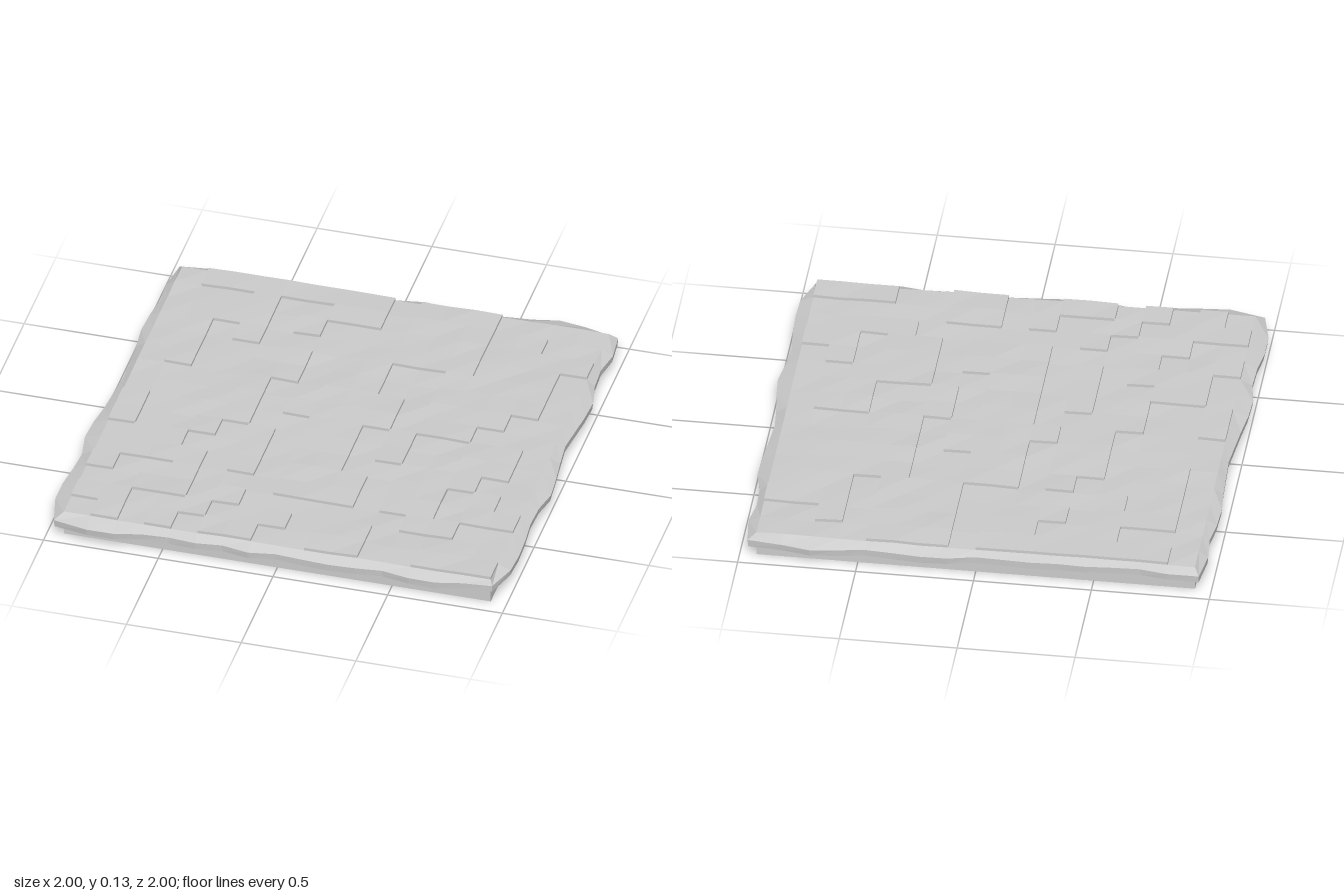
import * as THREE from 'three';

const N = 16, HALF = 0.93, CELL = (2 * HALF) / N, STEP = 0.013;

// Raised slabs (#) on the ground grid, back row first
const SLABS = [
  '.#######.###....',
  '...#..##.###.#..',
  '.###.#...###.###',
  '.#.#.....###.##.',
  '.#...#.##..####.',
  '.#..##.##..####.',
  '....#..###.###..',
  '....#.####.##...',
  '#..##..##.#..##.',
  '#..#.#.##.#..##.',
  '.##..#.##..###..',
  '.###.#.###.##.#.',
  '#..#...###.##.##',
  '..##.#......##..',
  '##..#..#.##.....',
  '.#.#.##..##..###',
];

// Rim overhang in hundredths, counter-clockwise from the front left corner
const OVERHANG = [
  [3.5, 7, 6.5, 4.5, 2.5, 4, 3, 5, 3.5, 3.5, 4, 4, 3, 5, 4.5, 3, 1.5],
  [1, 5.5, 6, 5.5, 4.5, 5, 7, 6, 4.5, 3.5, 4.5, 5.5, 6, 3.5, 3, 5, 3.5],
  [2, 5, 7, 5, 3.5, 3.5, 4.5, 5, 2.5, 2.5, 2.5, 2.5, 3, 2.5, 2, 4, 3],
  [2, 4, 3, 4.5, 5, 4, 3.5, 3, 4, 5, 6.5, 7, 5, 5.5, 7, 7, 3.5],
];

// Repeatable value in -1..1 for a grid point
function noise(i, j) {
  const s = Math.sin(i * 127.1 + j * 311.7) * 43758.5453;
  return (s - Math.floor(s)) * 2 - 1;
}

const raised = (i, j) => SLABS[j]?.[i] === '#';

// Point on the ground grid, lifted by a slab if wanted
function gridPoint(i, j, lift = 0) {
  return [-HALF + i * CELL, 0.112 + 0.003 * noise(i, j) + lift, -HALF + j * CELL];
}

function quad(out, a, b, c, d) {
  out.push(...a, ...b, ...c, ...a, ...c, ...d);
}

function makeMesh(name, positions, material) {
  const geometry = new THREE.BufferGeometry();
  geometry.setAttribute('position', new THREE.Float32BufferAttribute(positions, 3));
  geometry.computeVertexNormals();
  const mesh = new THREE.Mesh(geometry, material);
  mesh.name = name;
  return mesh;
}

// Cell tops, with short walls wherever a slab meets lower ground
function buildGround(material) {
  const tops = [], walls = [];
  for (let j = 0; j < N; j++) {
    for (let i = 0; i < N; i++) {
      const up = raised(i, j);
      const corners = [[i, j + 1], [i + 1, j + 1], [i + 1, j], [i, j]];
      const high = corners.map(([a, b]) => gridPoint(a, b, up ? STEP : 0));
      quad(tops, ...high);
      if (!up) continue;
      const neighbours = [[i, j + 1], [i + 1, j], [i, j - 1], [i - 1, j]];
      neighbours.forEach(([ni, nj], k) => {
        if (raised(ni, nj)) return;
        const n = (k + 1) % 4;
        quad(walls, gridPoint(...corners[k]), gridPoint(...corners[n]), high[n], high[k]);
      });
    }
  }
  return [makeMesh('groundTop', tops, material), makeMesh('slabWalls', walls, material)];
}

// Uneven overhanging lip joining the ground to the base
function buildRim(material) {
  const loop = [];
  for (let side = 0; side < 4; side++) {
    for (let k = 0; k < N; k++) {
      const [i, j] = [[k, N], [N, N - k], [N - k, 0], [0, k]][side];
      const [nx, nz] = [[0, 1], [1, 0], [0, -1], [-1, 0]][side];
      const out = OVERHANG[side][k] / 100;
      const inner = gridPoint(i, j);
      let dx = nx * out, dz = nz * out;
      if (k === 0) {
        // Corners also reach out along the side before
        const last = OVERHANG[(side + 3) % 4][N] / 100;
        const [px, pz] = [[-1, 0], [0, 1], [1, 0], [0, -1]][side];
        dx += px * last;
        dz += pz * last;
      }
      const drop = 0.008 * noise(i + 40, j + 7);
      loop.push([
        [inner[0], 0.06, inner[2]],
        [inner[0] + dx * 0.93, 0.056 + drop, inner[2] + dz * 0.93],
        [inner[0] + dx, 0.087 + drop * 0.7, inner[2] + dz],
        inner,
      ]);
    }
  }
  const positions = [];
  loop.forEach((p, k) => {
    const q = loop[(k + 1) % loop.length];
    for (let r = 0; r < 3; r++) quad(positions, p[r], q[r], q[r + 1], p[r + 1]);
  });
  return makeMesh('overhangingRim', positions, material);
}

export function createModel() {
  const model = new THREE.Group();
  model.name = 'groundTile';
  const material = new THREE.MeshStandardMaterial({ color: 0xcccccc, flatShading: true });

  // Square base block
  const base = new THREE.Mesh(new THREE.BoxGeometry(2 * HALF, 0.065, 2 * HALF), material);
  base.name = 'base';
  base.position.y = 0.0325;

  model.add(base, buildRim(material), ...buildGround(material));
  return model;
}
